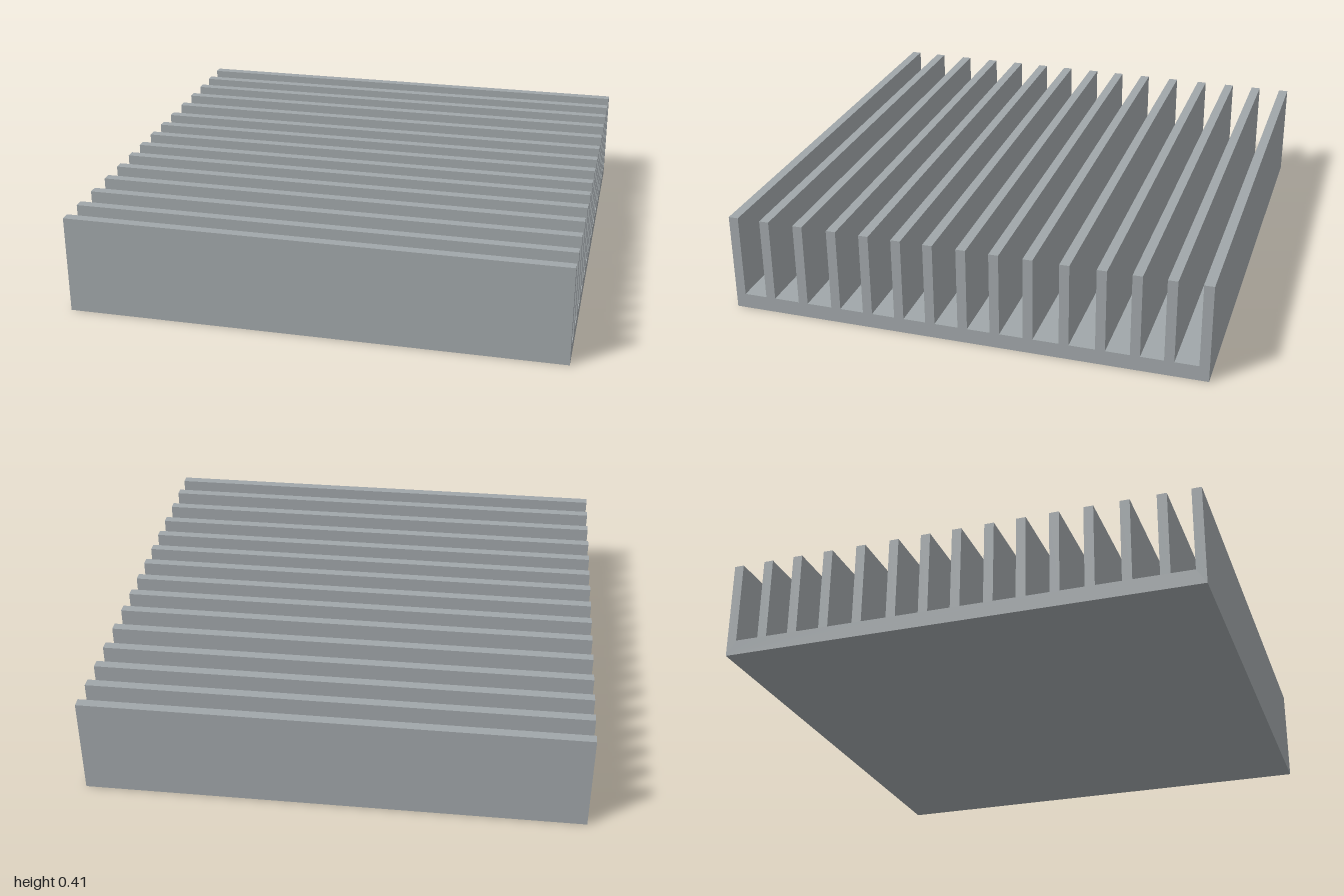
import * as THREE from 'three';

export function createModel() {
  const group = new THREE.Group();
  group.name = 'heatSink';
  const aluminium = new THREE.MeshStandardMaterial({ color: 0xa0a6a9 });
  aluminium.name = 'aluminium grey';

  const length = 2, height = 0.405, baseHeight = 0.062, halfDepth = 0.97, halfFin = 0.0195;
  // Fin centres along z, slightly uneven, from back to front
  const fins = [-0.95, -0.817, -0.686, -0.551, -0.408, -0.265, -0.131, 0,
    0.134, 0.264, 0.397, 0.533, 0.675, 0.818, 0.95];

  // Comb-shaped section: flat base with upright fins
  const profile = new THREE.Shape();
  profile.moveTo(-halfDepth, 0);
  profile.lineTo(halfDepth, 0);
  [...fins].reverse().forEach((z, i) => {
    const front = i === 0 ? halfDepth : z + halfFin;
    const back = i === fins.length - 1 ? -halfDepth : z - halfFin;
    if (i > 0) profile.lineTo(front, baseHeight);
    profile.lineTo(front, height);
    profile.lineTo(back, height);
    if (i < fins.length - 1) profile.lineTo(back, baseHeight);
  });
  profile.closePath();

  // Extrude the section along x
  const geometry = new THREE.ExtrudeGeometry(profile, { depth: length, bevelEnabled: false });
  geometry.translate(0, 0, -length / 2);
  geometry.rotateY(-Math.PI / 2);

  const body = new THREE.Mesh(geometry, aluminium);
  body.name = 'finnedBase';
  group.add(body);
  return group;
}
